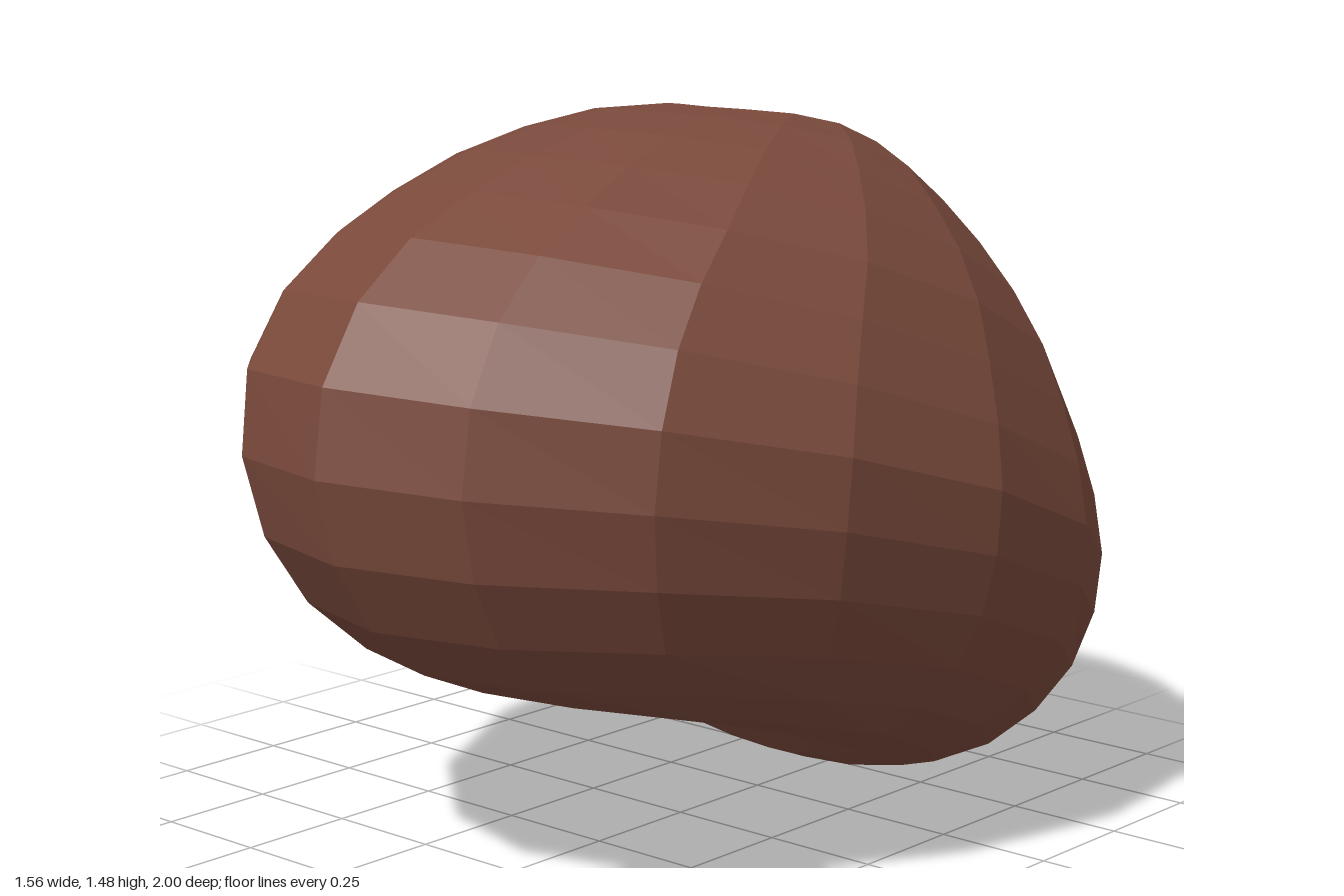
import * as THREE from 'three';

const curve = (pts) =>
  new THREE.CatmullRomCurve3(pts.map((p) => new THREE.Vector3(...p)), false, 'centripetal');

export function createModel() {
  const group = new THREE.Group();
  group.name = 'bean';

  // Three meridians running from the top pole to the dented bottom pole
  const top = [0, 1.38, -0.41], bottom = [0, 0.27, -0.1];
  const front = curve([top, [0, 1.45, -0.23], [0, 1.48, 0], [0, 1.46, 0.25], [0, 1.39, 0.52],
    [0, 1.25, 0.82], [0, 1.14, 0.92], [0, 1.03, 0.98], [0, 0.9, 1], [0, 0.77, 0.98],
    [0, 0.64, 0.92], [0, 0.52, 0.82], [0, 0.43, 0.69], [0, 0.37, 0.52], [0, 0.31, 0.25], bottom]);
  const side = curve([top, [0.15, 1.41, -0.36], [0.32, 1.38, -0.3], [0.5, 1.27, -0.22],
    [0.61, 1.16, -0.17], [0.71, 0.99, -0.1], [0.77, 0.85, -0.05], [0.78, 0.75, -0.04],
    [0.75, 0.58, -0.04], [0.68, 0.43, -0.04], [0.56, 0.3, -0.05], [0.4, 0.22, -0.06],
    [0.2, 0.22, -0.08], bottom]);
  const back = curve([top, [0, 1.21, -0.6], [0, 1.03, -0.75], [0, 0.86, -0.85],
    [0, 0.72, -0.93], [0, 0.57, -0.98], [0, 0.4, -1], [0, 0.27, -0.98], [0, 0.16, -0.93],
    [0, 0.08, -0.84], [0, 0.02, -0.73], [0, 0, -0.6], [0, 0.02, -0.45], [0, 0.09, -0.27], bottom]);

  // Rings blend the front, side and back meridians
  const rings = 18, segs = 16;
  const positions = [], index = [];
  for (let k = 0; k <= rings; k++) {
    const f = front.getPointAt(k / rings);
    const s = side.getPointAt(k / rings);
    const b = back.getPointAt(k / rings);
    for (let j = 0; j < segs; j++) {
      const a = (j / segs) * Math.PI * 2;
      const c = Math.cos(a), n = Math.sin(a);
      const blend = (axis) => {
        const mid = (f[axis] + b[axis]) / 2;
        return mid + ((f[axis] - b[axis]) / 2) * c + (s[axis] - mid) * n * n;
      };
      positions.push(s.x * n, blend('y'), blend('z'));
      if (k === rings) continue;
      const p = k * segs + j, q = k * segs + ((j + 1) % segs);
      if (k < rings - 1) index.push(p, p + segs, q + segs);
      if (k > 0) index.push(p, q + segs, q);
      // Closing fan at the bottom pole
      if (k === rings - 1) index.splice(index.length - 3, 3, p, p + segs, q);
    }
  }
  const geometry = new THREE.BufferGeometry();
  geometry.setAttribute('position', new THREE.Float32BufferAttribute(positions, 3));
  geometry.setIndex(index);
  geometry.computeVertexNormals();

  const body = new THREE.Mesh(
    geometry,
    new THREE.MeshStandardMaterial({ color: 0x7a4a3c, flatShading: true })
  );
  body.name = 'beanBody';
  group.add(body);
  return group;
}
